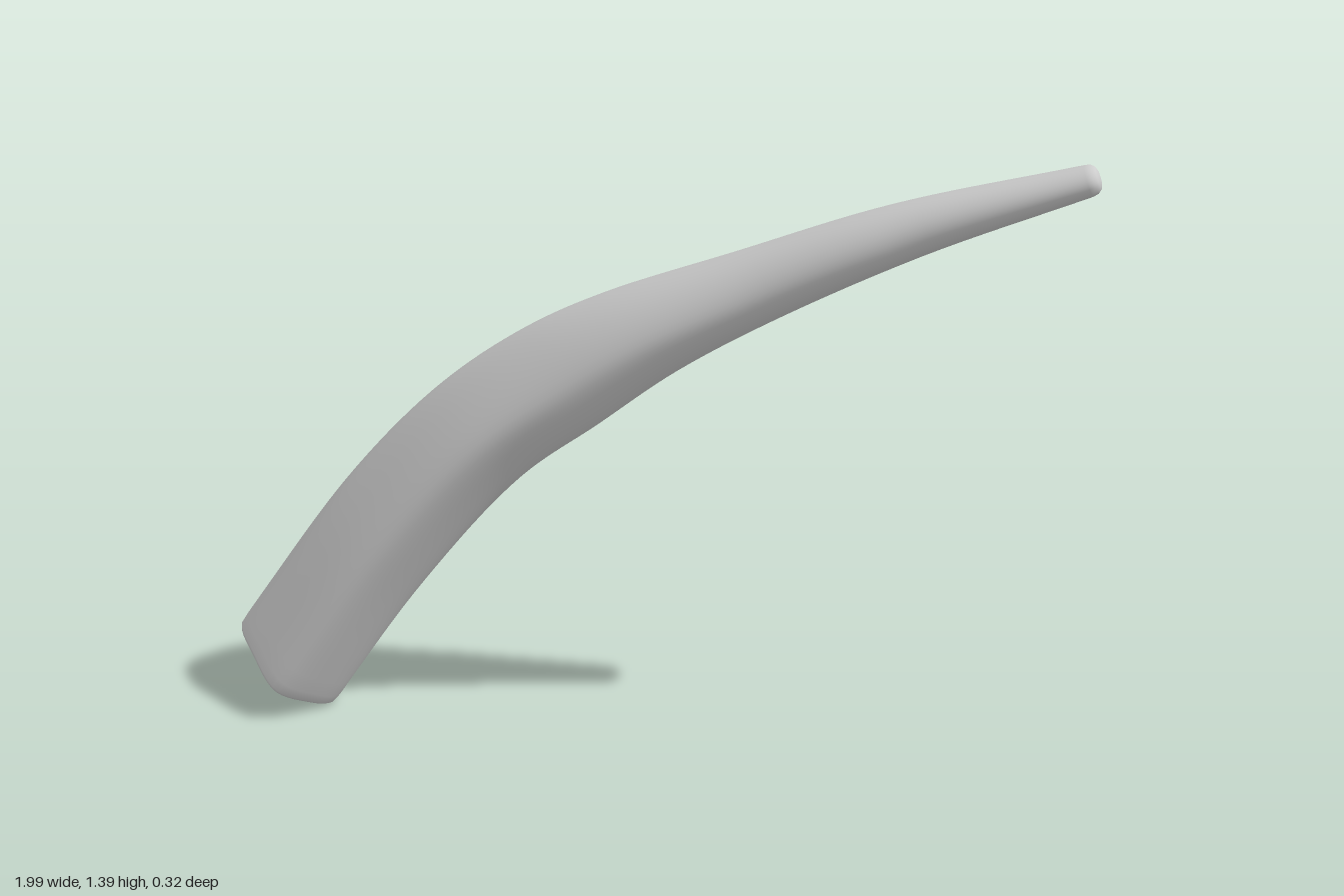
import * as THREE from 'three';

// Stations along the tusk: outer edge x,y | inner edge x,y | front z, back z | roundness
const STATIONS = [
  [-0.99, 0.19, -0.755, 0.01, 0.158, 0.157, 0],
  [-0.70, 0.59, -0.53, 0.33, 0.147, 0.163, 0.1],
  [-0.48, 0.82, -0.285, 0.615, 0.136, 0.157, 0.25],
  [-0.28, 0.965, -0.10, 0.755, 0.126, 0.15, 0.45],
  [-0.10, 1.055, 0.08, 0.89, 0.111, 0.138, 0.65],
  [0.20, 1.165, 0.30, 1.02, 0.085, 0.115, 0.85],
  [0.55, 1.29, 0.62, 1.18, 0.063, 0.09, 1],
  [0.955, 1.393, 0.98, 1.328, 0.035, 0.06, 1],
];
// Angular cross-section at the root: u runs from inner (-1) to outer (1) edge, v is depth
const SECTION = [[1, 0], [0.55, 0.5], [-0.12, 0.98], [-0.65, 0.66], [-1, 0.2], [-0.7, -0.52], [-0.25, -0.98], [0.45, -0.93], [0.85, -0.45]];
const SIDES = 48, STEPS = 56;

const curve = (pick, closed) => new THREE.CatmullRomCurve3(
  (closed ? SECTION : STATIONS).map((s) => new THREE.Vector3(...pick(s))), closed);

export function createModel() {
  const outer = curve((s) => [s[0], s[1], 0], false);
  const inner = curve((s) => [s[2], s[3], 0], false);
  const depth = curve((s) => [s[4], s[5], s[6]], false);
  const section = curve((s) => [s[0], s[1], 0], true);

  // Rings: [position on path, scale, push along the axis]; the ends close with soft rims
  const rings = [[0, 0, -0.012], [0, 0.45, -0.012], [0, 0.84, -0.012], [0, 0.94, -0.009], [0, 0.985, 0]];
  for (let i = 0; i <= STEPS; i++) rings.push([0.006 + (0.994 * i) / STEPS, 1, i ? 0 : 0.008]);
  rings.push([1, 0.93, 0.013], [1, 0.72, 0.022], [1, 0.4, 0.026], [1, 0, 0.027]);

  const positions = [], index = [];
  for (const [t, scale, push] of rings) {
    const a = outer.getPoint(t), b = inner.getPoint(t), d = depth.getPoint(t);
    const mid = a.clone().add(b).multiplyScalar(0.5);
    const half = a.clone().sub(b).multiplyScalar(0.5 * scale);
    const axis = new THREE.Vector3(a.y - b.y, b.x - a.x, 0).normalize();
    const zMid = (d.x - d.y) / 2;
    for (let j = 0; j < SIDES; j++) {
      const p = section.getPoint(j / SIDES);
      const ang = Math.atan2(p.y, p.x);
      const u = THREE.MathUtils.lerp(p.x, Math.cos(ang), d.z);
      const v = THREE.MathUtils.lerp(p.y, Math.sin(ang), d.z);
      const z = zMid * (1 - d.z * 0.1) + v * scale * (d.x + d.y) / 2;
      positions.push(mid.x + half.x * u + axis.x * push, mid.y + half.y * u + axis.y * push, z);
    }
  }
  for (let i = 0; i < rings.length - 1; i++) {
    for (let j = 0; j < SIDES; j++) {
      const k = (j + 1) % SIDES;
      const a = i * SIDES + j, b = i * SIDES + k, c = a + SIDES, e = b + SIDES;
      if (i > 0) index.push(a, b, c);
      else index.push(a, e, c);
      if (i > 0 && i < rings.length - 2) index.push(b, e, c);
    }
  }
  const geometry = new THREE.BufferGeometry();
  geometry.setAttribute('position', new THREE.Float32BufferAttribute(positions, 3));
  geometry.setIndex(index);
  geometry.computeVertexNormals();

  const tusk = new THREE.Mesh(geometry, new THREE.MeshStandardMaterial({ color: 0xcccccc }));
  tusk.name = 'tusk';
  const model = new THREE.Group();
  model.name = 'curvedTusk';
  model.add(tusk);
  return model;
}
